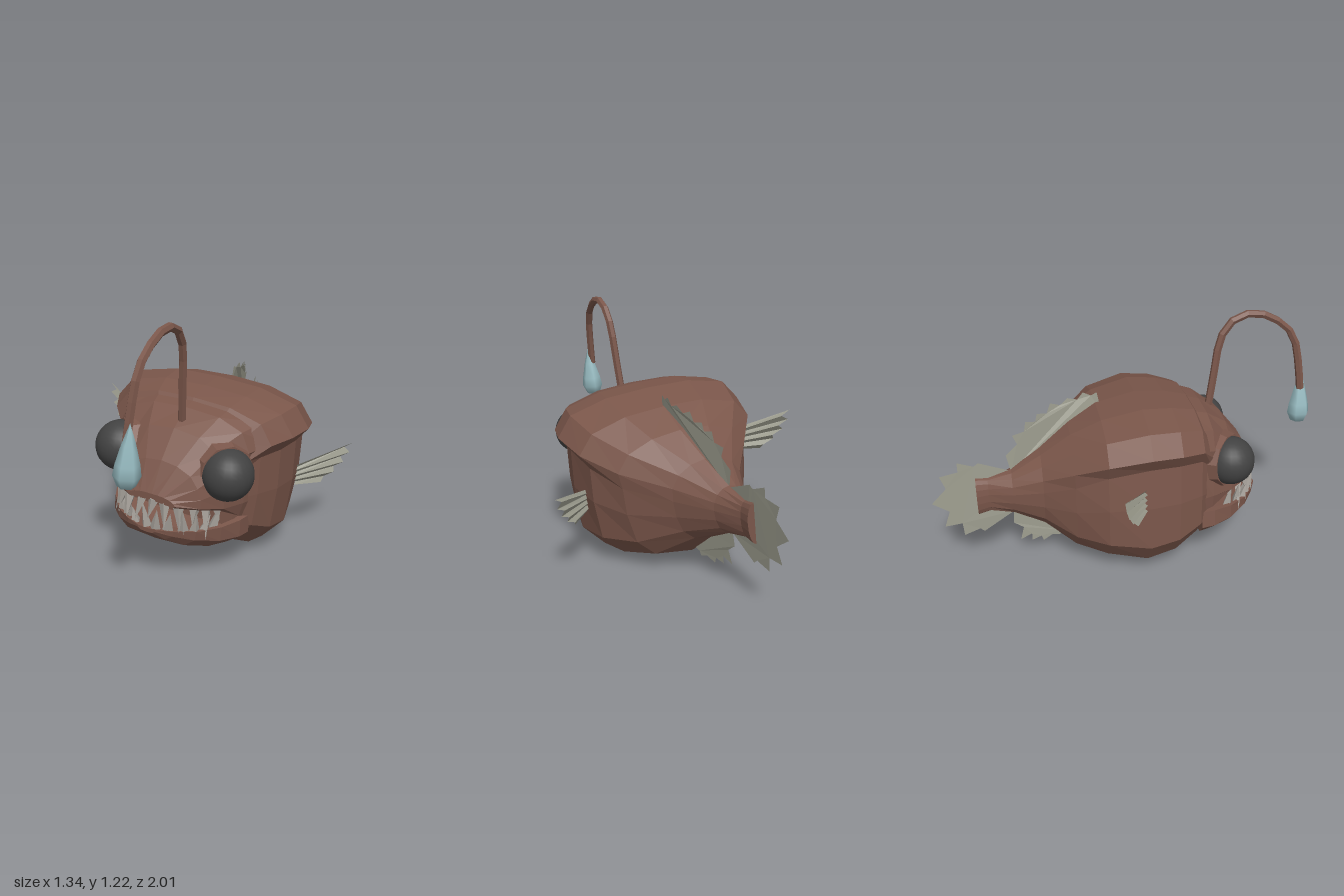
import * as THREE from 'three';

const mat = (color, flatShading = true, side = THREE.FrontSide) =>
  new THREE.MeshStandardMaterial({ color, flatShading, side });
const skin = mat(0x7a564a);
const finMat = mat(0x9a9a8c, true, THREE.DoubleSide);
const toothMat = mat(0xaaa59e);
const eyeMat = mat(0x424242, false);
const lureMat = mat(0x98bcc2, false);

function add(parent, name, geometry, material) {
  const mesh = new THREE.Mesh(geometry, material);
  mesh.name = name;
  parent.add(mesh);
  return mesh;
}

// Sideways swing of the spine towards the tail
function bend(z) {
  const t = Math.max(0, -0.2 - z);
  return -0.125 * (1 - Math.exp(-((3.2 * t) ** 2))) - 0.16 * Math.max(0, -0.75 - z);
}

// Skin over mirrored half-sections [[u, v], ...] listed from top to bottom, back to front
function loft(sections) {
  const pos = [], index = [];
  const n = sections[0].pts.length * 2 - 2;
  for (const { z, pts } of sections) {
    const loop = [...pts, ...pts.slice(1, -1).reverse().map(([u, v]) => [-u, v])];
    for (const [u, v] of loop) pos.push(u + bend(z), v, z);
  }
  for (let i = 0; i < sections.length - 1; i++) {
    for (let j = 0; j < n; j++) {
      const a = i * n + j, b = i * n + (j + 1) % n;
      index.push(a, a + n, b, b, a + n, b + n);
    }
  }
  // End caps
  const last = sections.length - 1;
  for (const i of [0, last]) {
    const { z, pts } = sections[i];
    const c = pos.length / 3;
    pos.push(bend(z), (pts[0][1] + pts[pts.length - 1][1]) / 2, z);
    for (let j = 0; j < n; j++) {
      const a = i * n + j, b = i * n + (j + 1) % n;
      if (i === 0) index.push(c, a, b);
      else index.push(c, b, a);
    }
  }
  const g = new THREE.BufferGeometry();
  g.setAttribute('position', new THREE.Float32BufferAttribute(pos, 3));
  g.setIndex(index);
  g.computeVertexNormals();
  return g;
}

// Body section: a circle blended towards a boxy shape with a side ridge
const BOX = [[0, 1], [0.5, 0.98], [0.93, 0.87], [1.1, 0.64], [0.98, 0.47], [1, 0], [0.97, -0.56], [0.74, -0.86], [0, -1]];
function bodySection([z, top, bottom, w, b]) {
  const pts = BOX.map(([bu, bv], i) => {
    const a = (i * Math.PI) / 8;
    const u = THREE.MathUtils.lerp(Math.sin(a), bu, b);
    const v = THREE.MathUtils.lerp(Math.cos(a), bv, b);
    return [i % 8 ? u * w : 0, v * (v > 0 ? top : bottom)];
  });
  return { z, pts };
}

// Flat fin from a side outline [[z, v], ...] following the spine
function flatFin(outline) {
  const g = new THREE.ShapeGeometry(new THREE.Shape(outline.map(([z, v]) => new THREE.Vector2(z, v))));
  const p = g.attributes.position;
  for (let i = 0; i < p.count; i++) p.setXYZ(i, bend(p.getX(i)), p.getY(i), p.getX(i));
  g.computeVertexNormals();
  return g;
}

// Pleated side fin: rays alternate with webbing that is shorter and set back
function pectoralFin(side, v0, z0, reach, sweep) {
  const pos = [], index = [], rays = 5, n = rays * 2 - 1;
  for (let i = 0; i < n; i++) {
    const t = i / (n - 1), web = i % 2;
    const len = (1 - 0.5 * t * t) * (web ? 0.84 : 1);
    const fold = web ? 0.015 : 0;
    pos.push(side * 0.43, v0 - 0.11 * t, z0 - fold);
    pos.push(side * (0.43 + reach * len), v0 + 0.1 - 0.21 * t, z0 + sweep * len - fold * 1.5);
    if (i) index.push(2 * i - 2, 2 * i - 1, 2 * i, 2 * i, 2 * i - 1, 2 * i + 1);
  }
  const g = new THREE.BufferGeometry();
  g.setAttribute('position', new THREE.Float32BufferAttribute(pos, 3));
  g.setIndex(index);
  g.computeVertexNormals();
  return g;
}

export function createModel() {
  const model = new THREE.Group();
  model.name = 'anglerfish';
  // The whole fish rolls slightly to one side
  const fish = new THREE.Group();
  fish.name = 'fish';
  fish.position.set(0.025, 0.41, 0);
  fish.rotation.z = -0.105;
  model.add(fish);

  // Body: z, top, bottom, half width, boxiness
  add(fish, 'body', loft([
    [-0.78, 0.09, 0.115, 0.035, 0],
    [-0.72, 0.08, 0.105, 0.03, 0],
    [-0.6, 0.11, 0.13, 0.085, 0.1],
    [-0.45, 0.2, 0.21, 0.18, 0.3],
    [-0.3, 0.31, 0.34, 0.325, 0.6],
    [-0.15, 0.39, 0.375, 0.42, 0.9],
    [0.05, 0.435, 0.415, 0.452, 1],
    [0.2, 0.425, 0.38, 0.43, 1],
    [0.32, 0.395, 0.3, 0.375, 1],
    [0.39, 0.3, 0.245, 0.31, 0.8],
  ].map(bodySection)), skin);

  // Upper head and lip
  add(fish, 'upperHead', loft([
    { z: 0.28, pts: [[0, 0.395], [0.19, 0.385], [0.34, 0.34], [0.4, 0.25], [0.36, 0.17], [0.36, -0.04], [0.34, -0.13], [0, -0.03]] },
    { z: 0.39, pts: [[0, 0.365], [0.17, 0.355], [0.29, 0.31], [0.335, 0.22], [0.325, 0.13], [0.335, -0.03], [0.32, -0.1], [0, -0.02]] },
    { z: 0.5, pts: [[0, 0.295], [0.13, 0.28], [0.21, 0.23], [0.26, 0.15], [0.28, 0.06], [0.285, -0.03], [0.265, -0.045], [0, 0]] },
    { z: 0.6, pts: [[0, 0.17], [0.08, 0.16], [0.15, 0.13], [0.19, 0.08], [0.21, 0.03], [0.215, -0.012], [0.2, -0.022], [0, 0]] },
    { z: 0.67, pts: [[0, 0.03], [0.03, 0.03], [0.06, 0.028], [0.09, 0.022], [0.11, 0.012], [0.12, 0], [0.11, -0.008], [0, 0]] },
  ]), skin);

  // Lower jaw with raised lip
  add(fish, 'lowerJaw', loft([
    { z: 0.33, pts: [[0, -0.16], [0.27, -0.16], [0.31, -0.11], [0.35, -0.11], [0.355, -0.2], [0.3, -0.25], [0, -0.27]] },
    { z: 0.4, pts: [[0, -0.18], [0.27, -0.17], [0.305, -0.115], [0.335, -0.115], [0.34, -0.2], [0.28, -0.245], [0, -0.26]] },
    { z: 0.5, pts: [[0, -0.2], [0.24, -0.19], [0.26, -0.125], [0.285, -0.125], [0.285, -0.195], [0.23, -0.24], [0, -0.255]] },
    { z: 0.6, pts: [[0, -0.19], [0.17, -0.18], [0.185, -0.13], [0.205, -0.13], [0.2, -0.175], [0.15, -0.215], [0, -0.225]] },
    { z: 0.66, pts: [[0, -0.17], [0.085, -0.165], [0.1, -0.13], [0.12, -0.13], [0.115, -0.155], [0.08, -0.18], [0, -0.185]] },
    { z: 0.695, pts: [[0, -0.13], [0.015, -0.13], [0.03, -0.128], [0.045, -0.128], [0.045, -0.138], [0.03, -0.148], [0, -0.15]] },
  ]), skin);

  // Two interlocking rows of teeth, leaning outwards
  for (const [name, count, dir] of [['upperTooth', 11, -1], ['lowerTooth', 12, 1]]) {
    for (let i = 0; i < count; i++) {
      const a = (i / (count - 1) - 0.5) * 2.5;
      const h = 0.1 + 0.028 * Math.sin(i * 2.4 + dir) + (i % 2) * 0.025;
      const tooth = add(fish, name, new THREE.ConeGeometry(0.026, h, 4), toothMat);
      const lip = dir < 0 ? 0.005 - 0.035 * Math.abs(Math.sin(a)) : -0.14;
      tooth.position.set(0.27 * Math.sin(a), lip + (dir * h) / 2, 0.415 + 0.255 * Math.cos(a));
      tooth.rotation.set((dir < 0 ? Math.PI : 0) + 0.25 * dir, a, 0.15 * Math.sin(i * 1.7), 'YXZ');
    }
  }

  // Eyes in faceted sockets
  for (const side of [-1, 1]) {
    const axis = new THREE.Vector3(side * 0.7, 0.05, 0.7).normalize();
    const centre = new THREE.Vector3(side * 0.28, 0.135, 0.485);
    add(fish, 'eye', new THREE.SphereGeometry(0.122, 24, 16), eyeMat).position.copy(centre);
    const socket = add(fish, 'eyeSocket', new THREE.CylinderGeometry(0.132, 0.158, 0.1, 10), skin);
    socket.position.copy(centre).addScaledVector(axis, -0.055);
    socket.quaternion.setFromUnitVectors(new THREE.Vector3(0, 1, 0), axis);
  }

  // Fishing rod arching over the face
  const path = [[0.28, 0.44], [0.48, 0.47], [0.67, 0.5], [0.745, 0.54], [0.79, 0.61], [0.793, 0.7],
    [0.755, 0.79], [0.7, 0.86], [0.63, 0.9], [0.47, 0.932], [0.37, 0.945]];
  const curve = new THREE.CatmullRomCurve3(path.map(([v, z]) => new THREE.Vector3(0.01, v, z)));
  add(fish, 'lureRod', new THREE.TubeGeometry(curve, 14, 0.02, 6), skin);

  // Glowing drop at the rod's end
  const drop = [[0, 0], [0.04, 0.004], [0.06, 0.05], [0.053, 0.1], [0.03, 0.19], [0, 0.28]];
  const bulb = add(fish, 'lureBulb', new THREE.LatheGeometry(drop.map(([r, y]) => new THREE.Vector2(r, y)), 6), lureMat);
  bulb.position.set(0.025, 0.18, 0.95);

  // Ragged fins along the midline
  add(fish, 'dorsalFin', flatFin([[-0.12, 0.34], [-0.14, 0.445], [-0.17, 0.43], [-0.21, 0.45], [-0.24, 0.415], [-0.29, 0.43],
    [-0.33, 0.4], [-0.38, 0.42], [-0.4, 0.37], [-0.45, 0.38], [-0.46, 0.34], [-0.51, 0.35], [-0.52, 0.3],
    [-0.58, 0.29], [-0.56, 0.24], [-0.62, 0.19], [-0.6, 0.09], [-0.4, 0.18]]), finMat);
  add(fish, 'analFin', flatFin([[-0.28, -0.3], [-0.36, -0.32], [-0.37, -0.345], [-0.41, -0.33], [-0.46, -0.35], [-0.47, -0.32],
    [-0.52, -0.33], [-0.52, -0.29], [-0.58, -0.31], [-0.56, -0.24], [-0.61, -0.2], [-0.6, -0.1], [-0.42, -0.18]]), finMat);
  add(fish, 'tailFin', flatFin([[-0.6, 0.1], [-0.76, 0.17], [-0.78, 0.155], [-0.86, 0.19], [-0.86, 0.14], [-0.95, 0.13],
    [-0.925, 0.06], [-1, -0.01], [-0.92, -0.07], [-0.95, -0.15], [-0.865, -0.15], [-0.86, -0.22],
    [-0.78, -0.2], [-0.76, -0.22], [-0.6, -0.13], [-0.72, -0.06], [-0.72, 0.05]]), finMat);

  // Side fins in mid-stroke
  add(fish, 'leftPectoralFin', pectoralFin(1, 0.025, -0.07, 0.21, -0.24), finMat);
  add(fish, 'rightPectoralFin', pectoralFin(-1, 0.1, 0.04, 0.29, -0.16), finMat);

  return model;
}
